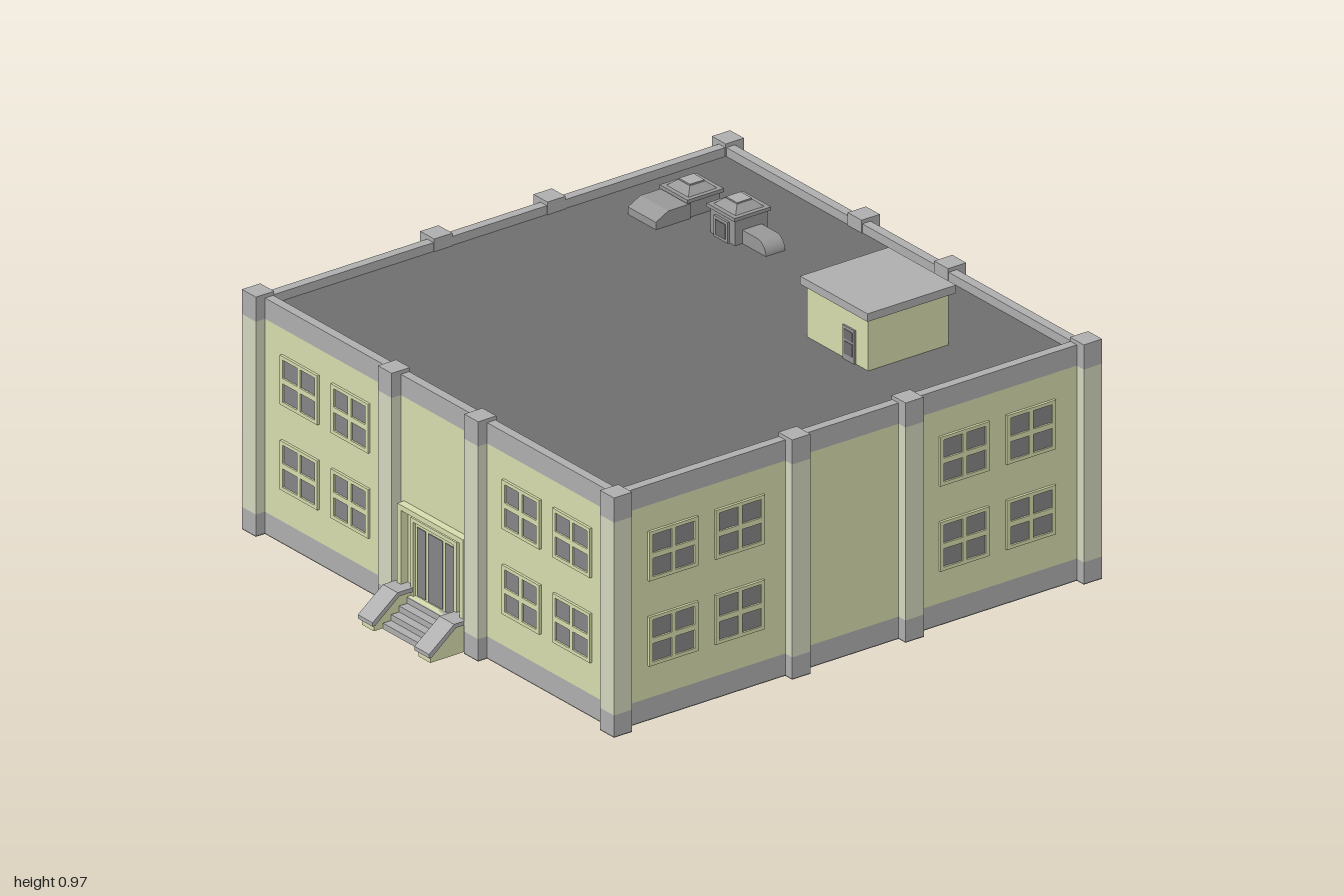
import * as THREE from 'three';

const mat = (color) => new THREE.MeshStandardMaterial({ color, flatShading: true });
const M = {
  wall: mat(0xd8deae), pale: mat(0xd4d8bf), stone: mat(0xb0b0b0),
  dark: mat(0x707070), glass: mat(0x868688), metal: mat(0x999999),
};

const CZ = -0.067;   // z of the building's centre
const HALF = 0.9;    // half width of the walls
const ROOF = 0.765;  // roof deck height

function add(parent, name, geometry, material) {
  const mesh = new THREE.Mesh(geometry, material);
  mesh.name = name;
  parent.add(mesh);
  return mesh;
}

// Box given by its limits on each axis
function box(parent, name, material, x0, x1, y0, y1, z0, z1) {
  const mesh = add(parent, name, new THREE.BoxGeometry(x1 - x0, y1 - y0, z1 - z0), material);
  mesh.position.set((x0 + x1) / 2, (y0 + y1) / 2, (z0 + z1) / 2);
  return mesh;
}

function rectPath(x0, x1, y0, y1, PathType = THREE.Path) {
  return new PathType([[x0, y0], [x1, y0], [x1, y1], [x0, y1]].map((p) => new THREE.Vector2(...p)));
}

const extrude = (shape, depth) => new THREE.ExtrudeGeometry(shape, { depth, bevelEnabled: false });

// Square storey ring with a square opening
function ring(parent, name, material, outer, inner, y0, y1) {
  const shape = rectPath(-outer, outer, -outer, outer, THREE.Shape);
  shape.holes.push(rectPath(-inner, inner, -inner, inner));
  const mesh = add(parent, name, extrude(shape, y1 - y0).rotateX(-Math.PI / 2), material);
  mesh.position.y = y0;
}

// Profile drawn in (z, y), extruded along x from x0 to x1
function sideProfile(parent, name, material, points, x0, x1) {
  const shape = new THREE.Shape(points.map(([z, y]) => new THREE.Vector2(-z, y)));
  const mesh = add(parent, name, extrude(shape, x1 - x0).rotateY(Math.PI / 2), material);
  mesh.position.x = x0;
}

// Four-sided frustum with half widths at its bottom and top
function frustum(parent, name, material, x, z, y0, y1, bottom, top) {
  const g = new THREE.CylinderGeometry(top * Math.SQRT2, bottom * Math.SQRT2, y1 - y0, 4).rotateY(Math.PI / 4);
  add(parent, name, g, material).position.set(x, (y0 + y1) / 2, z);
}

// Window: frame with four openings, a pane in each
function makeWindow() {
  const w = new THREE.Group();
  w.name = 'window';
  const frame = rectPath(-0.094, 0.094, -0.083, 0.083, THREE.Shape);
  for (const sx of [-1, 1]) for (const sy of [-1, 1]) {
    const xs = [sx * 0.008, sx * 0.08].sort((a, b) => a - b);
    const ys = [sy * 0.009, sy * 0.071].sort((a, b) => a - b);
    frame.holes.push(rectPath(...xs, ...ys));
    box(w, 'windowPane', M.glass, ...xs, ...ys, -0.004, 0.003);
  }
  add(w, 'windowFrame', extrude(frame, 0.009), M.wall);
  return w;
}

// Pilaster of stone foot, pale shaft and stone cap
function pilaster(parent, x) {
  const r = 0.035;
  const parts = [['pilasterSole', M.dark, 0, 0.004], ['pilasterFoot', M.stone, 0.004, 0.075],
    ['pilasterShaft', M.pale, 0.075, 0.725], ['pilasterCap', M.stone, 0.725, 0.808]];
  for (const [name, m, y0, y1] of parts) box(parent, name, m, x - r, x + r, y0, y1, HALF - r, HALF + r);
}

// One side of the building: windows, two inner pilasters and one corner
function makeFacade() {
  const f = new THREE.Group();
  f.name = 'facade';
  for (const x of [-0.685, -0.43, 0.43, 0.685]) for (const y of [0.268, 0.555]) {
    const w = makeWindow();
    w.position.set(x, y, HALF);
    f.add(w);
  }
  for (const x of [-0.217, 0.217, HALF]) pilaster(f, x);
  return f;
}

function makeEntrance() {
  const e = new THREE.Group();
  e.name = 'entrance';
  const z = CZ + HALF;
  // Outer and inner door surrounds
  const surround = (name, w, top, t, depth) => {
    const s = rectPath(-w, w, 0.075, top, THREE.Shape);
    s.holes.push(rectPath(-w + t, w - t, 0.08, top - t));
    add(e, name, extrude(s, depth), M.wall).position.z = z;
  };
  surround('outerDoorSurround', 0.165, 0.375, 0.018, 0.027);
  surround('innerDoorSurround', 0.115, 0.343, 0.013, 0.014);
  // Door leaf with three tall panes
  box(e, 'doorLeaf', M.wall, -0.102, 0.102, 0.075, 0.33, z - 0.005, z + 0.004);
  for (const [a, b] of [[-0.092, -0.05], [-0.036, 0.036], [0.05, 0.092]])
    box(e, 'doorPane', M.glass, a, b, 0.085, 0.315, z, z + 0.007);
  // Steps
  [0.08, 0.06, 0.04, 0.02].forEach((top, i) =>
    box(e, 'step', M.stone, -0.108, 0.108, 0, top, z - 0.01, 0.865 + i * 0.031));
  // Sloping side walls with coping
  for (const s of [-1, 1]) {
    const c = s * 0.142;
    sideProfile(e, 'stairWall', M.wall,
      [[z - 0.01, 0], [0.99, 0], [0.99, 0.025], [0.9, 0.095], [z - 0.01, 0.095]], c - 0.03, c + 0.03);
    sideProfile(e, 'stairCoping', M.stone,
      [[z, 0.094], [0.897, 0.094], [0.99, 0.021], [1, 0.021], [1, 0.034], [0.904, 0.108], [z, 0.108]],
      c - 0.037, c + 0.037);
  }
  return e;
}

function makePenthouse() {
  const p = new THREE.Group();
  p.name = 'roofAccessHouse';
  box(p, 'accessWalls', M.wall, 0.305, 0.612, ROOF, 0.942, -0.66, -0.352);
  box(p, 'accessRoof', M.stone, 0.288, 0.627, 0.94, 0.967, -0.677, -0.338);
  box(p, 'accessDoor', M.metal, 0.49, 0.55, ROOF, 0.878, -0.36, -0.346);
  for (const [y0, y1] of [[0.785, 0.828], [0.836, 0.868]])
    box(p, 'accessDoorPanel', M.dark, 0.499, 0.541, y0, y1, -0.35, -0.344);
  return p;
}

function makeVents() {
  const v = new THREE.Group();
  v.name = 'roofVents';
  // Stepped housing shared by both vents
  const housing = (x, z, r, top) => {
    box(v, 'ventBody', M.metal, x - r + 0.008, x + r - 0.008, ROOF, top - 0.01, z - r + 0.008, z + r - 0.008);
    box(v, 'ventRim', M.metal, x - r, x + r, top - 0.012, top, z - r, z + r);
    frustum(v, 'ventHood', M.metal, x, z, top, top + 0.022, r - 0.015, r - 0.04);
    box(v, 'ventLid', M.stone, x - 0.028, x + 0.028, top + 0.02, top + 0.026, z - 0.028, z + 0.028);
  };
  housing(-0.65, -0.638, 0.07, 0.83);
  housing(-0.405, -0.632, 0.07, 0.862);
  // Low duct with a sloped end
  sideProfile(v, 'lowDuct', M.metal,
    [[-0.58, ROOF], [-0.447, ROOF], [-0.447, 0.79], [-0.495, 0.815], [-0.58, 0.815]], -0.72, -0.58);
  // Intake grille
  box(v, 'intakeFrame', M.metal, -0.44, -0.37, ROOF, 0.835, -0.575, -0.562);
  box(v, 'intakeGrille', M.dark, -0.43, -0.38, ROOF + 0.01, 0.825, -0.565, -0.559);
  // Elbow duct bending down into the roof
  const elbow = new THREE.Shape();
  elbow.moveTo(-0.345, ROOF);
  elbow.lineTo(-0.225, ROOF);
  elbow.absarc(-0.27, ROOF, 0.045, 0, Math.PI / 2, false);
  elbow.lineTo(-0.345, ROOF + 0.045);
  add(v, 'elbowDuct', extrude(elbow, 0.074), M.metal).position.z = -0.672;
  return v;
}

export function createModel() {
  const model = new THREE.Group();
  model.name = 'building';

  // Main block around an open core, closed by the roof deck
  const block = new THREE.Group();
  block.name = 'mainBlock';
  block.position.z = CZ;
  model.add(block);
  ring(block, 'sole', M.dark, HALF, 0.54, 0, 0.004);
  ring(block, 'plinth', M.stone, HALF, 0.54, 0.004, 0.075);
  ring(block, 'walls', M.wall, HALF, 0.54, 0.075, 0.725);
  ring(block, 'parapet', M.stone, HALF, 0.868, 0.725, 0.795);
  box(block, 'roofDeck', M.dark, -0.87, 0.87, 0.722, ROOF, -0.87, 0.87);
  for (let i = 0; i < 4; i++) {
    const f = makeFacade();
    f.rotation.y = (i * Math.PI) / 2;
    block.add(f);
  }

  model.add(makeEntrance(), makePenthouse(), makeVents());
  return model;
}
